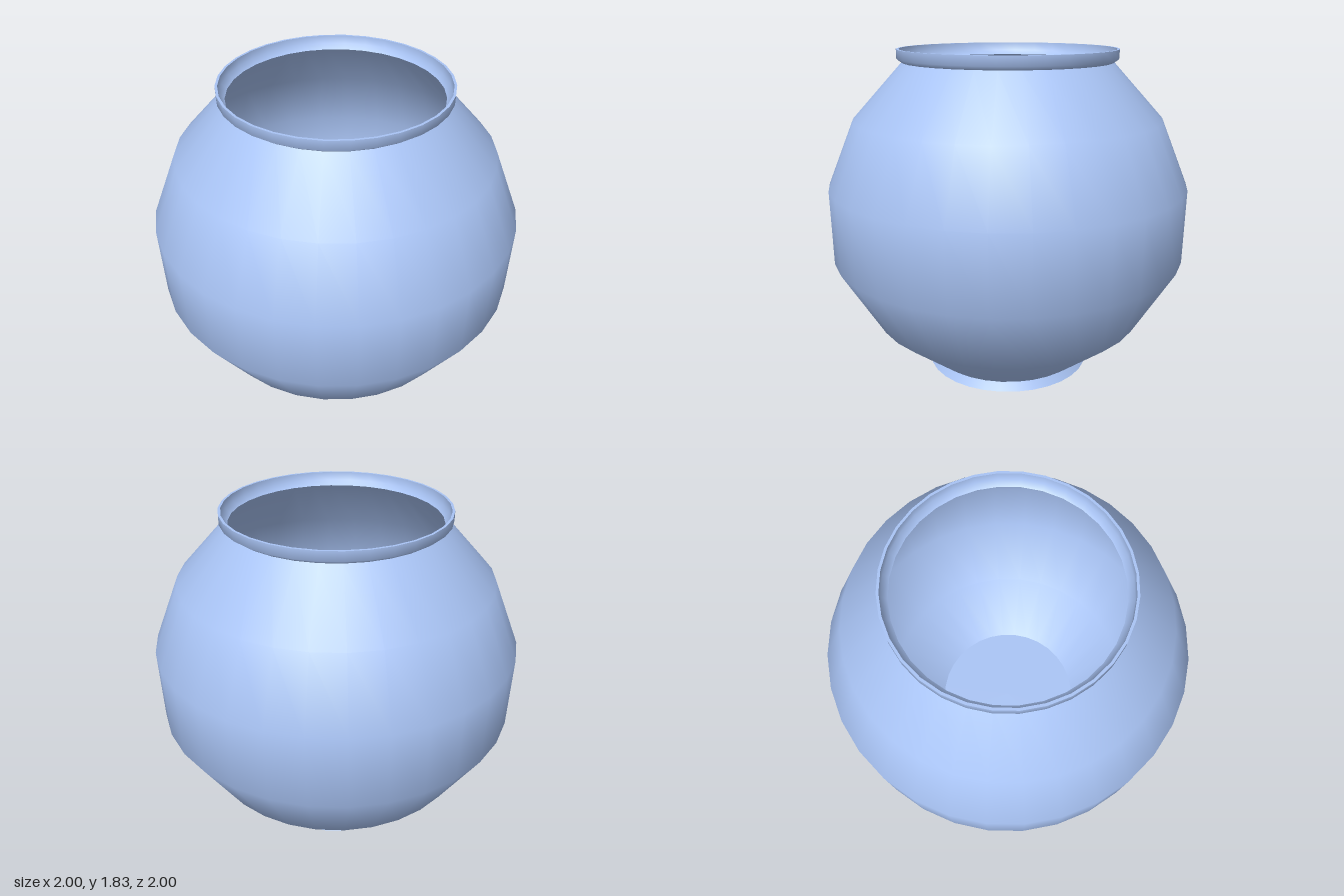
import * as THREE from 'three';

export function createModel() {
  const group = new THREE.Group();
  group.name = 'fishBowl';
  const material = new THREE.MeshStandardMaterial({ color: 0xa9c4f5 });

  // Each part is its own revolved profile, so edges between parts stay sharp.
  // Profiles run up the outside and down the inside.
  const revolve = (name, profile) => {
    const points = profile.map(([r, y]) => new THREE.Vector2(r, y));
    const mesh = new THREE.Mesh(new THREE.LatheGeometry(points, 32), material);
    mesh.name = name;
    group.add(mesh);
  };

  // Foot
  revolve('footUnderside', [[0, 0], [0.47, 0]]);
  revolve('foot', [[0.47, 0], [0.45, 0.03], [0.435, 0.055]]);
  revolve('footSeam', [[0.435, 0.055], [0.455, 0.053]]);

  // Round body, thin walled
  revolve('bodyOutside', [
    [0.455, 0.053], [0.77, 0.31], [0.995, 0.69], [1, 1.1], [0.85, 1.46], [0.575, 1.76],
  ]);
  revolve('bodyInside', [
    [0.56, 1.76], [0.838, 1.452], [0.987, 1.095], [0.982, 0.694], [0.76, 0.32], [0.44, 0.065],
  ]);
  revolve('bodyFloor', [[0.44, 0.065], [0, 0.065]]);

  // Collar around the opening
  revolve('rimOutside', [[0.575, 1.76], [0.603, 1.78], [0.603, 1.83]]);
  revolve('rimTop', [[0.603, 1.83], [0.59, 1.83]]);
  revolve('rimInside', [[0.59, 1.83], [0.588, 1.785], [0.56, 1.76]]);

  return group;
}
